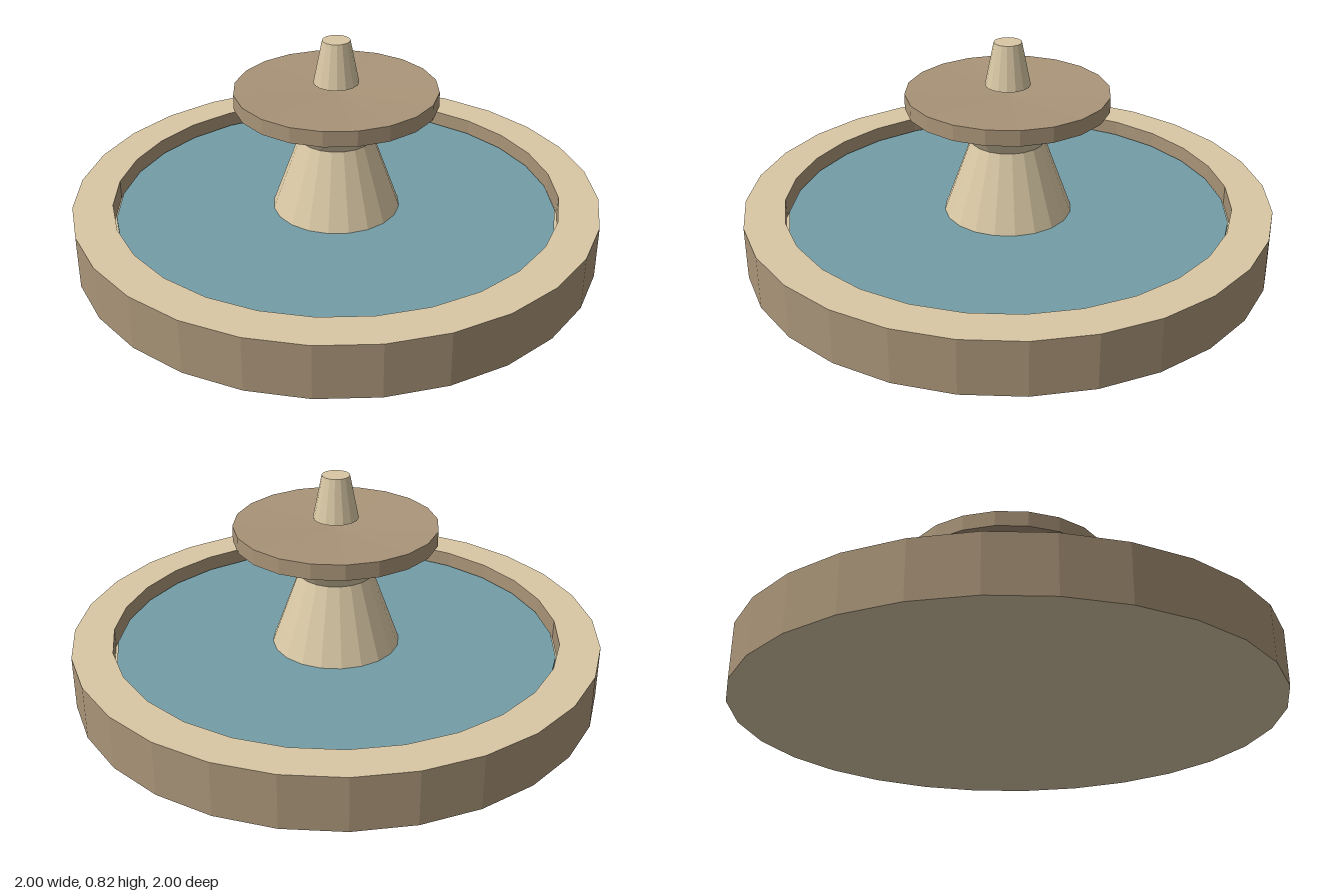
import * as THREE from 'three';

const lightStone = new THREE.MeshStandardMaterial({ color: 0xd9c8a5 });
lightStone.name = 'light stone';
const darkStone = new THREE.MeshStandardMaterial({ color: 0xa99478 });
darkStone.name = 'dark stone';
const waterBlue = new THREE.MeshStandardMaterial({ color: 0x739ca6 });
waterBlue.name = 'water';

// Faceted solid of revolution; the profile runs with its outside to the right
function turned(name, profile, sides, material) {
  const points = profile.map(([r, y]) => new THREE.Vector2(r, y));
  const geometry = new THREE.LatheGeometry(points, sides).toNonIndexed();
  geometry.computeVertexNormals();
  const mesh = new THREE.Mesh(geometry, material);
  mesh.name = name;
  return mesh;
}

export function createModel() {
  const fountain = new THREE.Group();
  fountain.name = 'fountain';

  // Basin: pale underside, outer wall, pale rim, inner wall, pale floor
  const basin = new THREE.Group();
  basin.name = 'basin';
  basin.add(
    turned('basinUnderside', [[0, 0], [1, 0]], 28, lightStone),
    turned('basinOuterWall', [[1, 0], [1, 0.205]], 28, darkStone),
    turned('basinRim', [[1, 0.205], [0.85, 0.205]], 28, lightStone),
    turned('basinInnerWall', [[0.85, 0.205], [0.85, 0.13]], 28, darkStone),
    turned('basinFloor', [[0.85, 0.13], [0, 0.13]], 28, lightStone)
  );
  fountain.add(basin);

  // Water surface
  fountain.add(turned('water', [[0.84, 0.13], [0.84, 0.15], [0, 0.15]], 28, waterBlue));

  // Pedestal with a flared top
  fountain.add(turned('pedestal',
    [[0, 0.131], [0.25, 0.131], [0.14, 0.435], [0.173, 0.488], [0, 0.488]], 20, lightStone));

  // Upper bowl: conical underside, short rim, shallow dished top
  fountain.add(turned('upperBowl',
    [[0, 0.488], [0.382, 0.574], [0.382, 0.633], [0, 0.612]], 20, darkStone));

  // Finial with a pointed foot
  fountain.add(turned('finial',
    [[0, 0.637], [0.085, 0.655], [0.052, 0.82], [0, 0.82]], 16, lightStone));

  return fountain;
}
